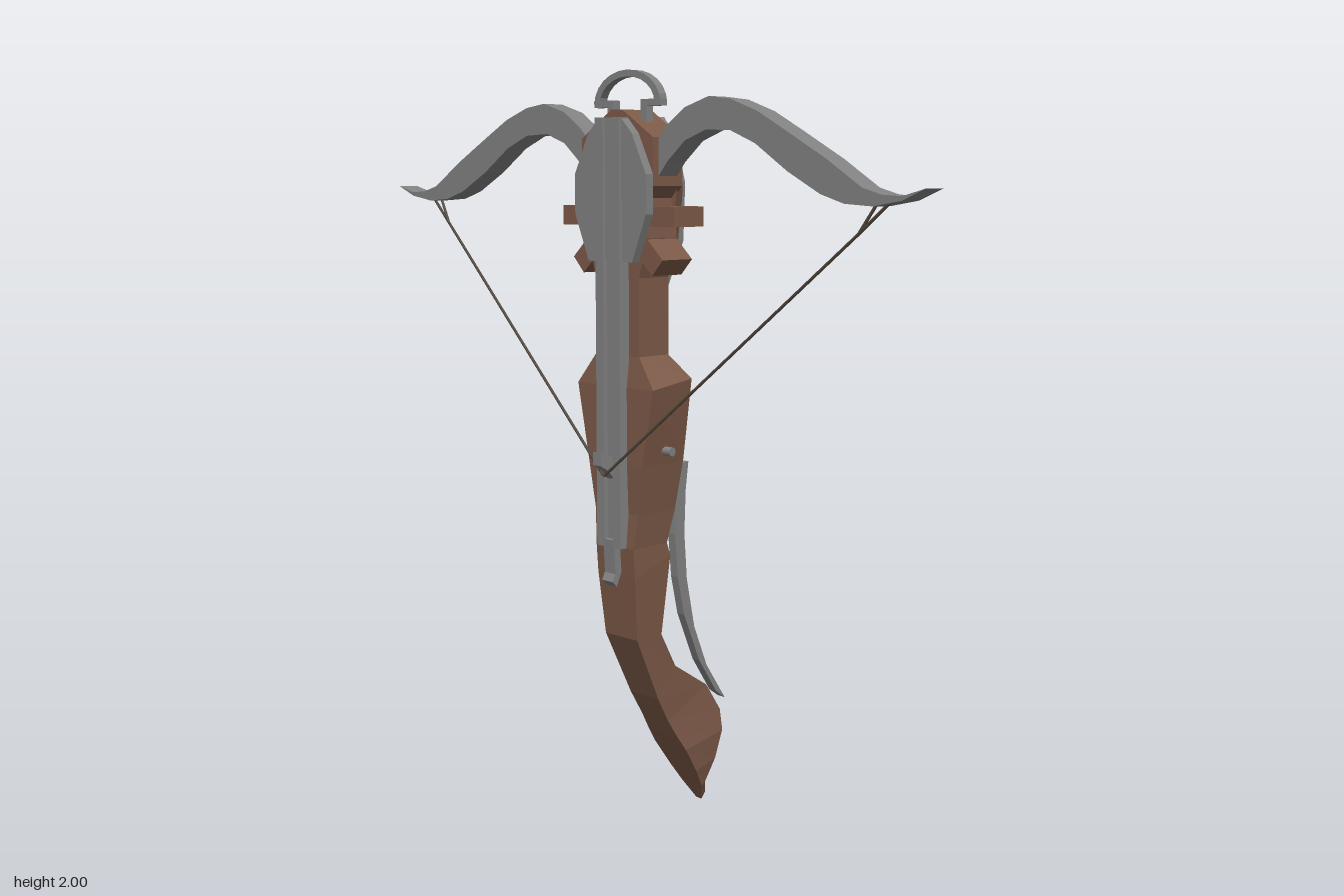
import * as THREE from 'three';

const material = (name, color, side = THREE.FrontSide) => {
  const m = new THREE.MeshStandardMaterial({ color, side });
  m.name = name;
  return m;
};

// Closed flat-shaded solid through rings of corners, listed top to bottom
function loft(rings) {
  const n = rings[0].length, pos = [];
  const tri = (a, b, c) => pos.push(...a, ...b, ...c);
  for (let i = 0; i < rings.length - 1; i++) {
    const up = rings[i], low = rings[i + 1];
    for (let k = 0; k < n; k++) {
      const j = (k + 1) % n;
      tri(up[j], low[j], low[k]);
      tri(up[j], low[k], up[k]);
    }
  }
  const top = rings[0], end = rings[rings.length - 1];
  for (let k = 1; k < n - 1; k++) {
    tri(top[0], top[k + 1], top[k]);
    tri(end[0], end[k], end[k + 1]);
  }
  const g = new THREE.BufferGeometry();
  g.setAttribute('position', new THREE.Float32BufferAttribute(pos, 3));
  g.computeVertexNormals();
  return g;
}

const outline = pts => new THREE.Shape(pts.map(p => new THREE.Vector2(...p)));
const extrude = (pts, depth) => new THREE.ExtrudeGeometry(outline(pts), { depth, bevelEnabled: false });

// Outline in (z, y), thick from x0 to x1
const slab = (pts, x0, x1) =>
  extrude(pts.map(([z, y]) => [-z, y]), x1 - x0).rotateY(Math.PI / 2).translate(x0, 0, 0);
const mirrored = half => [...half, ...half.map(([z, y]) => [-z, y]).reverse()];

export function createModel() {
  const model = new THREE.Group();
  model.name = 'crossbow';
  const wood = material('brown wood', 0x7d5a48);
  const steel = material('grey steel', 0x828282);
  const cord = material('dark cord', 0x51463c);
  const add = (name, geometry, mat) => {
    const mesh = new THREE.Mesh(geometry, mat);
    mesh.name = name;
    model.add(mesh);
    return mesh;
  };

  // Stock: back x, y, front x, y, half width
  const stock = [
    [-0.165, 1.55, -0.06, 1.55, 0.08], [-0.165, 1.28, -0.06, 1.28, 0.08],
    [-0.175, 1.2, -0.035, 1.22, 0.14], [-0.175, 1.0, -0.025, 1.0, 0.1],
    [-0.17, 0.87, -0.035, 0.87, 0.08], [-0.178, 0.78, -0.055, 0.78, 0.07],
    [-0.172, 0.7, -0.042, 0.745, 0.07], [-0.155, 0.53, -0.065, 0.53, 0.06],
    [-0.07, 0.35, -0.005, 0.43, 0.053], [-0.03, 0.28, 0.12, 0.35, 0.05],
    [0.0, 0.23, 0.17, 0.27, 0.055], [0.03, 0.185, 0.175, 0.21, 0.06],
    [0.08, 0.11, 0.155, 0.13, 0.052], [0.115, 0.055, 0.13, 0.065, 0.038],
    [0.145, 0.002, 0.16, 0.02, 0.01],
  ];
  add('stock', loft(stock.map(([xl, yl, xr, yr, w]) =>
    [[xl, yl, -w], [xr, yr, -w], [xr, yr, w], [xl, yl, w]])), wood);

  // Head block with its raised front
  add('head', slab(mirrored([[0.02, 1.9], [0.13, 1.83], [0.13, 1.71], [0.1, 1.68],
    [0.11, 1.58], [0.08, 1.48]]), -0.165, -0.06), wood);
  add('headFront', loft([[1.88, -0.05, 0.03], [1.82, -0.03, 0.11], [1.7, -0.03, 0.12],
    [1.57, -0.03, 0.1], [1.47, -0.058, 0.08]].map(([y, x, w]) =>
    [[-0.07, y, -w], [x, y, -w * 0.85], [x, y, w * 0.85], [-0.07, y, w]])), wood);

  // Faceted shield on the underside of the head
  add('shield', loft([[1.885, -0.03, 0, 0.012], [1.865, -0.035, 0.005, 0.035],
    [1.81, -0.035, 0.015, 0.058], [1.72, -0.035, 0.017, 0.085],
    [1.57, -0.035, 0.015, 0.08], [1.42, -0.062, -0.05, 0.058]].map(([y, xb, xf, w]) => {
    const xm = xb + (xf - xb) * 0.6;
    return [[xb, y, -w], [xm, y, -w], [xf, y, -w * 0.45],
      [xf, y, w * 0.45], [xm, y, w], [xb, y, w]];
  })), steel);

  // Back plate and bolt rail
  add('backPlate', slab(mirrored([[0.04, 1.88], [0.08, 1.84], [0.13, 1.74],
    [0.13, 1.64], [0.08, 1.52]]), -0.19, -0.165), steel);
  for (const s of [-1, 1]) {
    add('railEdge', new THREE.BoxGeometry(0.033, 1.1, 0.028).translate(-0.183, 1.33, s * 0.03), steel);
  }
  add('railBed', new THREE.BoxGeometry(0.02, 1.1, 0.05).translate(-0.176, 1.33, 0), steel);
  add('railTail', extrude([[-0.17, 0.8], [-0.2, 0.8], [-0.195, 0.71], [-0.205, 0.69],
    [-0.19, 0.675], [-0.17, 0.72]], 0.04).translate(0, 0, -0.02), steel);
  add('catch', extrude([[-0.19, 0.96], [-0.19, 1.02], [-0.24, 1.035], [-0.24, 1.0], [-0.215, 0.985]],
    0.03).translate(0, 0, -0.015), steel);

  // Pin through the stock
  add('pin', new THREE.CylinderGeometry(0.012, 0.012, 0.27, 8).rotateX(Math.PI / 2)
    .translate(-0.1, 1.035, 0), steel);

  // Trigger lever
  add('trigger', extrude([[-0.03, 0.99], [0.035, 0.97], [0.085, 0.975], [0.075, 0.9], [0.07, 0.78],
    [0.08, 0.65], [0.11, 0.51], [0.16, 0.39], [0.235, 0.28], [0.2, 0.305], [0.13, 0.41],
    [0.07, 0.55], [0.045, 0.66], [0.034, 0.78], [0.04, 0.92], [-0.03, 0.95]], 0.026)
    .translate(0, 0, -0.013), steel);

  // Stirrup: half-ring with feet and legs
  const arc = (rz, ry, dir) => Array.from({ length: 13 }, (_, i) => {
    const a = Math.PI * (dir > 0 ? i : 12 - i) / 12;
    return [rz * Math.cos(a), 1.915 + ry * Math.sin(a)];
  });
  add('stirrup', slab([...arc(0.12, 0.085, 1), ...arc(0.1, 0.068, -1)], -0.13, -0.105), steel);
  for (const s of [-1, 1]) {
    add('stirrupLeg', slab([[0.12, 1.925], [0.05, 1.925], [0.05, 1.8], [0.07, 1.8], [0.07, 1.908],
      [0.12, 1.908]].map(([z, y]) => [s * z, y]), -0.13, -0.105), steel);
  }

  // Curved bow limbs, pegs and string on both sides
  const limb = [[0.08, 1.77], [0.13, 1.83], [0.16, 1.86], [0.22, 1.9], [0.3, 1.924], [0.37, 1.915],
    [0.455, 1.885], [0.55, 1.835], [0.667, 1.772], [0.77, 1.708], [0.825, 1.693], [0.88, 1.69],
    [0.945, 1.707], [0.88, 1.68], [0.8, 1.667], [0.72, 1.672], [0.65, 1.693], [0.55, 1.745],
    [0.45, 1.81], [0.37, 1.842], [0.29, 1.845], [0.22, 1.82], [0.16, 1.77], [0.1, 1.7]];
  const strand = (a, b) => add('string', new THREE.TubeGeometry(
    new THREE.LineCurve3(new THREE.Vector3(...a), new THREE.Vector3(...b)), 1, 0.004, 5), cord);
  for (const s of [-1, 1]) {
    add('bowLimb', slab(limb.map(([z, y]) => [s * z, y]), -0.145, -0.08), steel);
    add('sidePeg', new THREE.BoxGeometry(0.105, 0.05, 0.12).translate(-0.1125, 1.635, s * 0.143), wood);
    const peg = add('lowerPeg', new THREE.BoxGeometry(0.105, 0.055, 0.11), wood);
    peg.position.set(-0.1125, 1.545, s * 0.105);
    peg.rotation.x = s * 0.75;
    const knot = [-0.122, 1.605, s * 0.745];
    strand([-0.113, 1.68, s * 0.83], knot);
    strand([-0.113, 1.675, s * 0.79], knot);
    strand(knot, [-0.215, 0.97, 0]);
  }
  return model;
}
